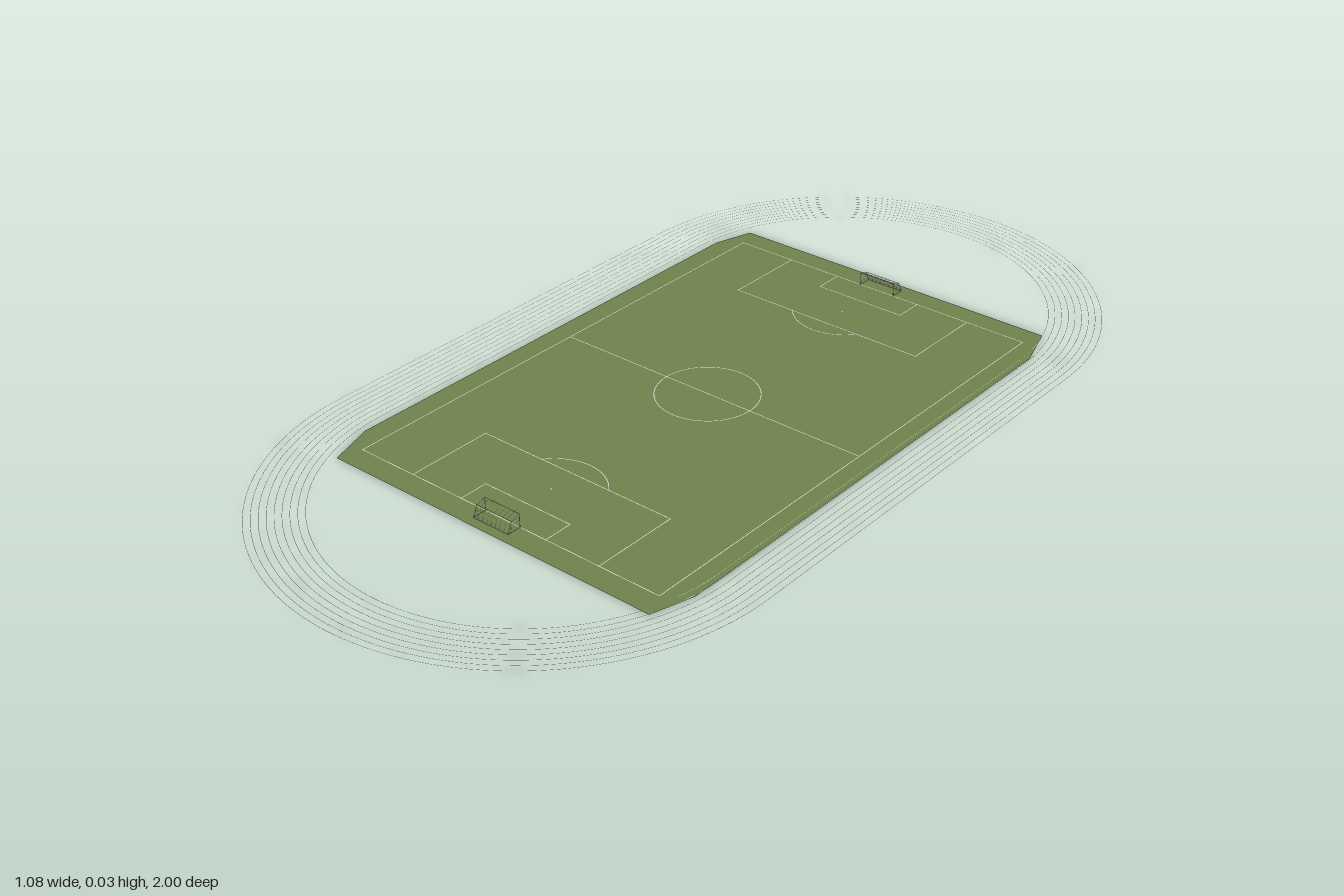
import * as THREE from 'three';
import { mergeGeometries } from 'three/addons/utils/BufferGeometryUtils.js';

const TILT = 0.0315;                 // whole ground is turned slightly
const HALF_W = 0.363, HALF_L = 0.567; // marked pitch
const LINE = 0.0014;                 // painted line width
const LIFT = 0.0003;                 // paint sits just above the grass

// Flat rectangle on the ground, centred at x, z
function strip(x, z, w, l) {
  return new THREE.PlaneGeometry(w, l).rotateX(-Math.PI / 2).translate(x, LIFT, z);
}

// Flat ring or arc on the ground
function arc(x, z, r, start = 0, sweep = Math.PI * 2) {
  return new THREE.RingGeometry(r - LINE / 2, r + LINE / 2, 48, 1, start, sweep)
    .rotateX(-Math.PI / 2).translate(x, LIFT, z);
}

// Three painted sides of a box that opens on the goal line
function goalLineBox(halfW, depth) {
  const z = HALF_L - depth;
  return [
    strip(0, z, halfW * 2 + LINE, LINE),
    strip(-halfW, HALF_L - depth / 2, LINE, depth),
    strip(halfW, HALF_L - depth / 2, LINE, depth),
  ];
}

// Stadium outline: two straights joined by half circles
function stadium(path, half, r) {
  path.absarc(0, half, r, 0, Math.PI, false);
  path.absarc(0, -half, r, Math.PI, Math.PI * 2, false);
  path.closePath();
  return path;
}

// Round bar between two points
function bar(a, b, r, sides = 6) {
  const p = new THREE.Vector3(...a), q = new THREE.Vector3(...b);
  const d = q.clone().sub(p);
  const turn = new THREE.Quaternion().setFromUnitVectors(new THREE.Vector3(0, 1, 0), d.clone().normalize());
  return new THREE.CylinderGeometry(r, r, d.length(), sides)
    .applyQuaternion(turn).translate((p.x + q.x) / 2, (p.y + q.y) / 2, (p.z + q.z) / 2);
}

// Goal with its mouth at z = 0 and the net running back towards +z
function createGoal(material) {
  const goal = new THREE.Group();
  goal.name = 'goal';
  const w = 0.0422, h = 0.0283, r = 0.0007, thin = 0.0005, cord = 0.0002;
  const profile = [[h, 0], [0.0225, 0.02], [0.015, 0.0235], [0.007, 0.027], [0.0007, 0.03]]; // y, z

  const frame = [bar([-w - r, h, 0], [w + r, h, 0], r)];
  for (const x of [-w, w]) {
    frame.push(bar([x, 0, 0], [x, h, 0], r), bar([x, 0.0007, 0], [x, 0.0007, 0.03], thin));
    for (let i = 1; i < profile.length; i++) {
      frame.push(bar([x, ...profile[i - 1]], [x, ...profile[i]], thin));
    }
  }
  for (const [y, z] of [profile[1], profile[4]]) {
    frame.push(bar([-w, y, z], [w, y, z], thin));
  }
  const frameMesh = new THREE.Mesh(mergeGeometries(frame), material);
  frameMesh.name = 'goalFrame';

  // Net cords down the back, across it, and over the two sides
  const net = [];
  for (let k = 1; k < 8; k++) {
    const x = -w + (2 * w * k) / 8;
    for (let i = 1; i < profile.length; i++) {
      net.push(bar([x, ...profile[i - 1]], [x, ...profile[i]], cord, 4));
    }
  }
  for (const [y, z] of profile.slice(1, -1)) {
    net.push(bar([-w, y, z], [w, y, z], cord, 4));
    for (const x of [-w, w]) {
      net.push(bar([x, y, 0], [x, y, z], cord, 4), bar([x, 0, z], [x, y, z], cord, 4));
    }
  }
  const netMesh = new THREE.Mesh(mergeGeometries(net), material);
  netMesh.name = 'goalNet';
  goal.add(frameMesh, netMesh);
  return goal;
}

export function createModel() {
  const grass = new THREE.MeshStandardMaterial({ color: 0x6e824c, side: THREE.DoubleSide });
  grass.name = 'grass green';
  const paint = new THREE.MeshStandardMaterial({ color: 0xffffff, side: THREE.DoubleSide });
  paint.name = 'line white';
  const metal = new THREE.MeshStandardMaterial({ color: 0xd8d8dc });
  metal.name = 'goal pale grey';

  const model = new THREE.Group();
  model.name = 'sportsGround';

  // Running track: nine lane lines
  const lanes = [];
  for (let i = 0; i <= 8; i++) {
    const r = 0.413 + i * 0.01375;
    const shape = stadium(new THREE.Shape(), 0.477, r);
    shape.holes.push(stadium(new THREE.Path(), 0.477, r - 0.0007));
    lanes.push(new THREE.ShapeGeometry(shape, 48).rotateX(-Math.PI / 2));
  }
  const track = new THREE.Mesh(mergeGeometries(lanes), paint);
  track.name = 'trackLaneLines';
  track.rotation.y = TILT;
  model.add(track);

  // Pitch, set a little off the centre of the track
  const pitch = new THREE.Group();
  pitch.name = 'pitch';
  pitch.position.set(0.015, 0, 0.016);
  pitch.rotation.y = TILT;
  model.add(pitch);

  // Grass with clipped corners
  const outline = [[0.378, -0.617], [0.41, -0.518], [0.41, 0.53], [0.384, 0.617]];
  const corners = [...outline, ...outline.map(([x, z]) => [-x, -z])];
  const lawn = new THREE.Mesh(
    new THREE.ShapeGeometry(new THREE.Shape(corners.map(([x, z]) => new THREE.Vector2(x, -z))))
      .rotateX(-Math.PI / 2), grass);
  lawn.name = 'lawn';
  pitch.add(lawn);

  // Boundary, halfway line, centre circle and spot
  const middle = [strip(0, 0, HALF_W * 2, LINE), arc(0, 0, 0.1045),
    new THREE.CircleGeometry(0.0016, 16).rotateX(-Math.PI / 2).translate(0, LIFT, 0)];
  for (const s of [-1, 1]) {
    middle.push(strip(s * HALF_W, 0, LINE, HALF_L * 2 + LINE));
    middle.push(strip(0, s * HALF_L, HALF_W * 2 + LINE, LINE));
  }
  const middleLines = new THREE.Mesh(mergeGeometries(middle), paint);
  middleLines.name = 'pitchLines';
  pitch.add(middleLines);

  // Each end: penalty box, goal box, spot, arc and goal
  const spotZ = HALF_L - 0.1244, sweep = 0.926;
  const endGeometry = mergeGeometries([
    ...goalLineBox(0.228, 0.187),
    ...goalLineBox(0.1036, 0.0622),
    arc(0, spotZ, 0.1035, Math.PI / 2 - sweep, sweep * 2),
    new THREE.CircleGeometry(0.0016, 16).rotateX(-Math.PI / 2).translate(0, LIFT, spotZ),
  ]);
  for (const side of ['front', 'back']) {
    const end = new THREE.Group();
    end.name = side + 'End';
    const lines = new THREE.Mesh(endGeometry, paint);
    lines.name = side + 'PenaltyLines';
    const goal = createGoal(metal);
    goal.position.z = HALF_L;
    end.add(lines, goal);
    if (side === 'back') end.rotation.y = Math.PI;
    pitch.add(end);
  }
  return model;
}
